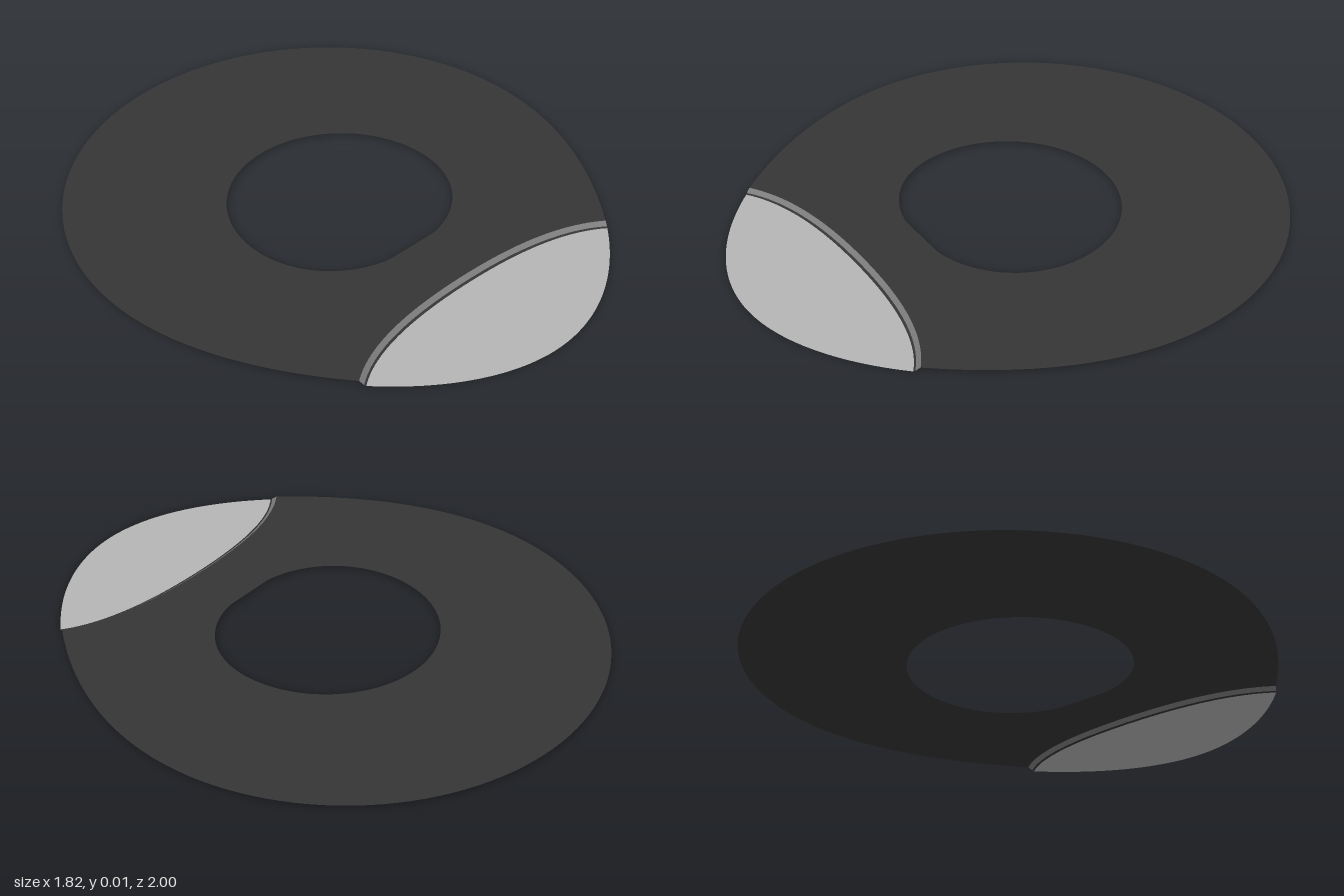
import * as THREE from 'three';

const material = (name, color) =>
  new THREE.MeshStandardMaterial({ name, color, side: THREE.DoubleSide });

// Points of one cubic curve, given as [x, z] pairs
const cubic = (a, b, c, d, n = 24) => new THREE.CubicBezierCurve(
  ...[a, b, c, d].map(p => new THREE.Vector2(...p))).getPoints(n);

// Closes a right-hand run of points (back to front or front to back) with its mirror image
const mirrored = half => [...half, ...half.map(p => new THREE.Vector2(-p.x, p.y)).reverse()];

// Quarter of an ellipse from the back centre round to its widest point
const quarter = (rx, rz, cz, n = 32) => Array.from({ length: n + 1 }, (_, i) => {
  const t = i / n * Math.PI / 2;
  return new THREE.Vector2(rx * Math.sin(t), cz - rz * Math.cos(t));
});

// Flat sheet facing up at height y
function sheet(name, outline, hole, y, mat) {
  const flip = pts => pts.map(p => new THREE.Vector2(p.x, -p.y));
  const shape = new THREE.Shape(flip(outline));
  if (hole) shape.holes.push(new THREE.Path(flip(hole)));
  const mesh = new THREE.Mesh(new THREE.ShapeGeometry(shape).rotateX(-Math.PI / 2), mat);
  mesh.name = name;
  mesh.position.y = y;
  return mesh;
}

// Sloping strip between an upper and a lower edge
function strip(name, upper, y1, lower, y0, mat) {
  const pos = [], index = [];
  upper.forEach((p, i) => {
    pos.push(p.x, y1, p.y, lower[i].x, y0, lower[i].y);
    if (i) {
      const k = 2 * i;
      index.push(k - 2, k - 1, k, k, k - 1, k + 1);
    }
  });
  const geometry = new THREE.BufferGeometry();
  geometry.setAttribute('position', new THREE.Float32BufferAttribute(pos, 3));
  geometry.setIndex(index);
  geometry.computeVertexNormals();
  const mesh = new THREE.Mesh(geometry, mat);
  mesh.name = name;
  return mesh;
}

export function createModel() {
  const dark = material('darkGrey', 0x353535);
  const light = material('lightGrey', 0xb5b5b5);
  const mid = material('midGrey', 0x7c7c7c);
  const top = 0.015;

  // Arched edges of the step, left to right
  const arch = (z, endX, endZ) => {
    const half = cubic([0, z], [0.25, z], [0.45, z + 0.035], [endX, endZ]);
    return [...half.slice(1).map(p => new THREE.Vector2(-p.x, p.y)).reverse(), ...half];
  };
  const upper = arch(0.56, 0.58, 0.69);
  const foot = arch(0.576, 0.572, 0.705);
  const lower = arch(0.585, 0.568, 0.71);

  // Main ring: egg-shaped outline cut off by the arch
  const side = [...quarter(0.91, 0.9, -0.1),
    ...cubic([0.91, -0.1], [0.91, 0.18], [0.78, 0.45], [0.58, 0.69]).slice(1)];
  const outline = [...side, ...upper.slice(1, -1).reverse(),
    ...side.slice(1).map(p => new THREE.Vector2(-p.x, p.y)).reverse()];

  // Round opening with a flattened front
  const hole = mirrored([...quarter(0.397, 0.397, -0.01),
    ...cubic([0.397, -0.01], [0.397, 0.17], [0.27, 0.31], [0.1, 0.335]).slice(1)]);

  // Front tip, closed by the foot of the step
  const tipSide = cubic([0.568, 0.71], [0.4, 0.89], [0.2, 1], [0, 1]);
  const tip = [...lower, ...tipSide.slice(1),
    ...tipSide.slice(1, -1).map(p => new THREE.Vector2(-p.x, p.y)).reverse()];

  const group = new THREE.Group();
  group.name = 'flatRing';
  group.add(
    sheet('ringPlate', outline, hole, top, dark),
    sheet('frontTip', tip, null, 0, light),
    strip('stepSlope', upper, top, foot, 0.003, mid),
    strip('stepFoot', foot, 0.003, lower, 0, dark),
  );
  return group;
}
